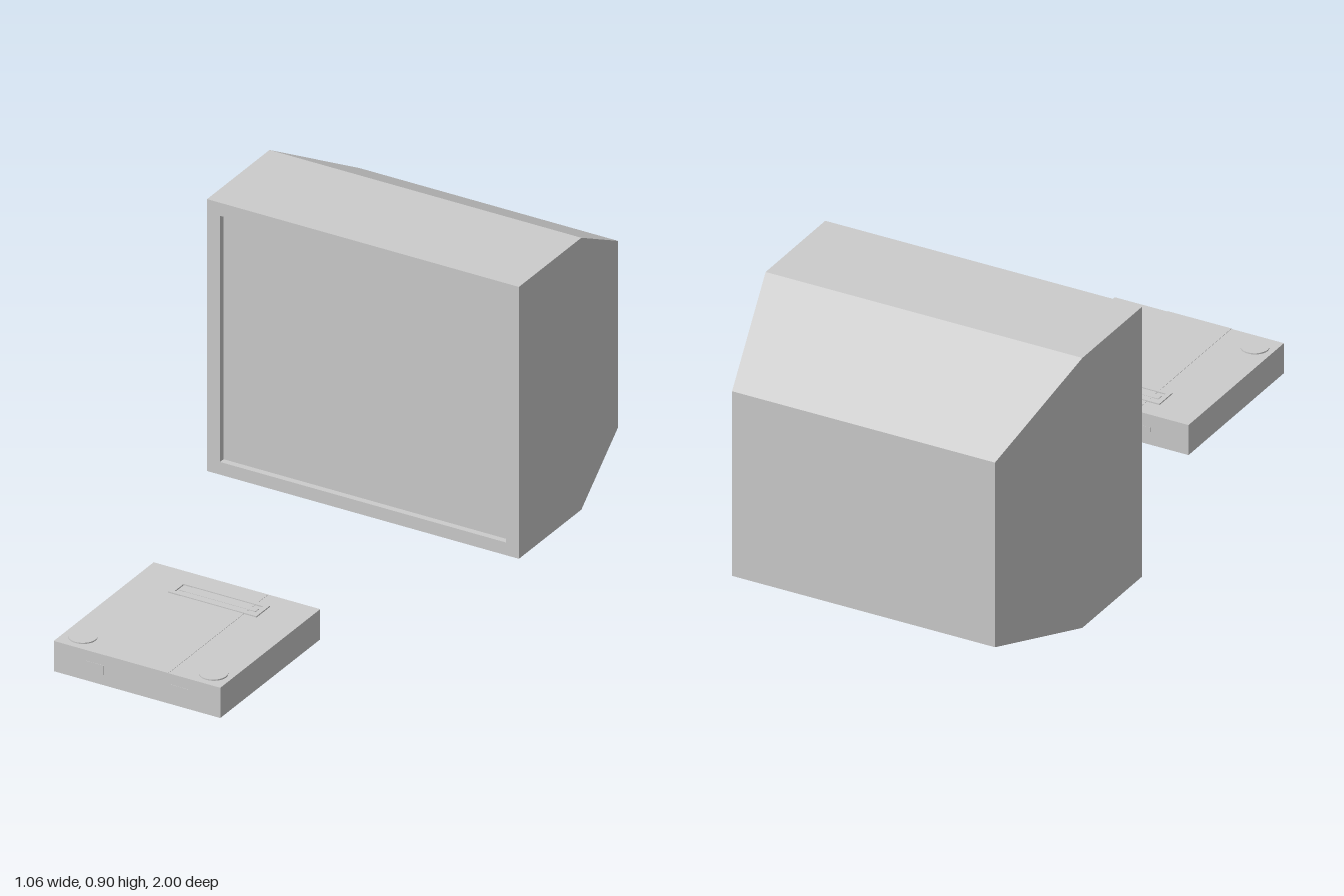
import * as THREE from 'three';

const material = new THREE.MeshStandardMaterial({ color: 0xcccccc, flatShading: true });

function add(parent, name, geometry, x = 0, y = 0, z = 0) {
  const mesh = new THREE.Mesh(geometry, material);
  mesh.name = name;
  mesh.position.set(x, y, z);
  parent.add(mesh);
  return mesh;
}

const box = (w, h, d) => new THREE.BoxGeometry(w, h, d);

// Joins rectangular rings { w: half width, y0, y1, z } and closes the first one
function loftRectangles(rings) {
  const loops = rings.map(({ w, y0, y1, z }) => [[-w, y0, z], [w, y0, z], [w, y1, z], [-w, y1, z]]);
  const positions = [];
  const quad = (a, b, c, d) => positions.push(...a, ...b, ...c, ...a, ...c, ...d);
  const [p, q, r, s] = loops[0];
  quad(p, s, r, q);
  for (let i = 0; i < loops.length - 1; i++) {
    for (let j = 0; j < 4; j++) {
      const k = (j + 1) % 4;
      quad(loops[i][j], loops[i][k], loops[i + 1][k], loops[i + 1][j]);
    }
  }
  const geometry = new THREE.BufferGeometry();
  geometry.setAttribute('position', new THREE.Float32BufferAttribute(positions, 3));
  geometry.computeVertexNormals();
  return geometry;
}

function createTelevision() {
  const tv = new THREE.Group();
  tv.name = 'television';
  // Tapered back, straight front, bezel and recess wall
  add(tv, 'televisionCasing', loftRectangles([
    { w: 0.44, y0: 0.09, y1: 0.705, z: -1 },
    { w: 0.53, y0: 0.006, y1: 0.905, z: -0.64 },
    { w: 0.53, y0: 0.006, y1: 0.905, z: -0.285 },
    { w: 0.486, y0: 0.048, y1: 0.862, z: -0.285 },
    { w: 0.486, y0: 0.048, y1: 0.862, z: -0.305 },
  ]));
  add(tv, 'screen', new THREE.PlaneGeometry(0.972, 0.814), 0, 0.455, -0.305);
  return tv;
}

function createConsole() {
  const console = new THREE.Group();
  console.name = 'gameConsole';
  add(console, 'consoleBody', box(0.566, 0.1, 0.568), 0, 0.05, 0.715);

  // Slightly raised band over the top and down the front
  add(console, 'centreBand', box(0.214, 0.1, 0.566), 0, 0.051, 0.717);

  // Slot frame near the back, with its door inside
  const frame = new THREE.Shape([[-0.15, -0.038], [0.15, -0.038], [0.15, 0.038], [-0.15, 0.038]]
    .map(([x, y]) => new THREE.Vector2(x, y)));
  frame.holes.push(new THREE.Path([[-0.135, -0.025], [-0.135, 0.025], [0.135, 0.025], [0.135, -0.025]]
    .map(([x, y]) => new THREE.Vector2(x, y))));
  const slot = new THREE.ExtrudeGeometry(frame, { depth: 0.005, bevelEnabled: false });
  slot.rotateX(-Math.PI / 2);
  add(console, 'slotFrame', slot, 0, 0.099, 0.533);
  add(console, 'slotDoor', box(0.26, 0.004, 0.02), 0, 0.1, 0.533);

  // Paired round buttons, front ports and rear sockets
  for (const side of [-1, 1]) {
    add(console, 'roundButton', new THREE.CylinderGeometry(0.043, 0.043, 0.006, 32), side * 0.222, 0.101, 0.935);
    add(console, 'controllerPort', box(0.065, 0.03, 0.004), side * 0.145, 0.05, 0.998);
    add(console, 'rearSocket', box(0.03, 0.015, 0.004), side * 0.14, 0.05, 0.4325);
  }
  return console;
}

export function createModel() {
  const model = new THREE.Group();
  model.name = 'televisionAndConsole';
  model.add(createTelevision(), createConsole());
  return model;
}
